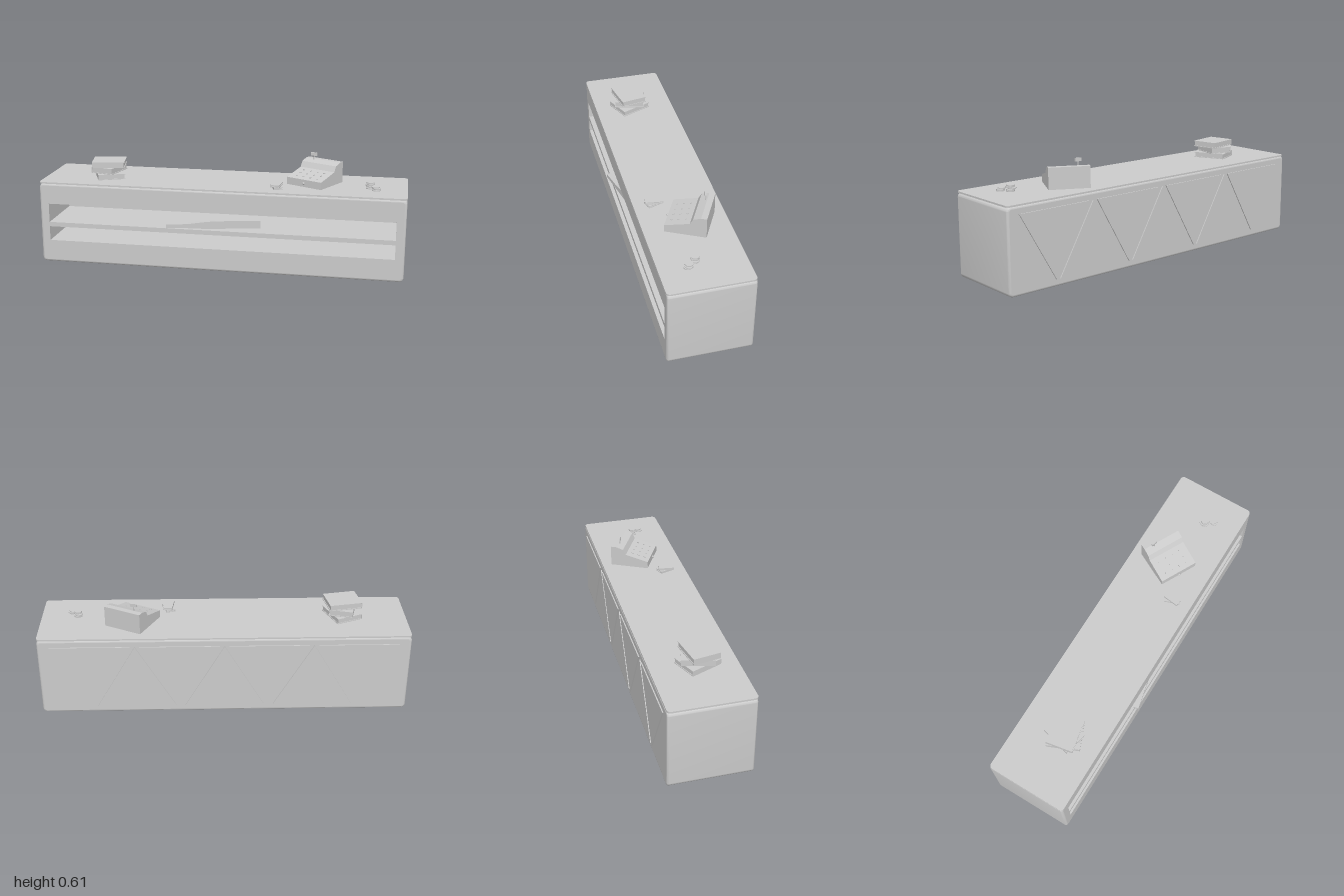
import * as THREE from 'three';
import { toCreasedNormals } from 'three/addons/utils/BufferGeometryUtils.js';

const grey = new THREE.MeshStandardMaterial({ color: 0xcccccc });
const greyDouble = new THREE.MeshStandardMaterial({ color: 0xcccccc, side: THREE.DoubleSide });
const TOP = 0.458; // height of the counter surface

function add(parent, name, geo, x = 0, y = 0, z = 0, ry = 0, mat = grey) {
  const m = new THREE.Mesh(geo, mat);
  m.name = name;
  m.position.set(x, y, z);
  m.rotation.y = ry;
  parent.add(m);
  return m;
}

function group(parent, name, x, y, z, ry = 0) {
  const g = new THREE.Group();
  g.name = name;
  g.position.set(x, y, z);
  g.rotation.y = ry;
  parent.add(g);
  return g;
}

const box = (w, h, d) => new THREE.BoxGeometry(w, h, d);
const poly = (pts) => new THREE.Shape(pts.map(([x, y]) => new THREE.Vector2(x, y)));
const extrude = (shape, depth) => new THREE.ExtrudeGeometry(shape, { depth, bevelEnabled: false });

function roundedRect(x0, y0, x1, y1, r) {
  const s = new THREE.Shape();
  s.absarc(x1 - r, y0 + r, r, -Math.PI / 2, 0);
  s.absarc(x1 - r, y1 - r, r, 0, Math.PI / 2);
  s.absarc(x0 + r, y1 - r, r, Math.PI / 2, Math.PI);
  s.absarc(x0 + r, y0 + r, r, Math.PI, Math.PI * 1.5);
  s.closePath();
  return s;
}

function addCounter(root) {
  const g = group(root, 'counter', 0, 0, 0);
  const r = 0.012, back = -0.234, front = 0.215;
  const slots = [[0.125, 0.205], [0.23, 0.335]];
  const outline = () => roundedRect(-1 + r, r, 1 - r, 0.45 - r, 0.012);

  // Rounded shell: bevelled sides only, the end caps are made separately
  const full = new THREE.ExtrudeGeometry(outline(), {
    depth: front - back - 2 * r, bevelSize: r, bevelThickness: r, bevelSegments: 4, curveSegments: 5,
  });
  const shell = new THREE.BufferGeometry();
  const sides = full.attributes.position.array.slice(full.groups[1].start * 3);
  shell.setAttribute('position', new THREE.BufferAttribute(sides, 3));
  add(g, 'counterShell', toCreasedNormals(shell, 0.6), 0, 0, back + r);

  // Front panel with two long shelf openings
  const panel = outline();
  for (const [y0, y1] of slots) {
    panel.holes.push(poly([[-0.95, y0], [-0.95, y1], [0.95, y1], [0.95, y0]]));
  }
  add(g, 'frontPanel', new THREE.ShapeGeometry(panel, 5), 0, 0, front);
  add(g, 'backPanel', new THREE.ShapeGeometry(outline(), 5), 0, 0, back, Math.PI);

  // Shelf recesses, open towards the front
  const depth = 0.33;
  for (const [y0, y1] of slots) {
    const geo = box(1.9, y1 - y0, depth);
    const index = Array.from(geo.index.array);
    index.splice(24, 6);
    geo.setIndex(index);
    geo.clearGroups();
    add(g, 'shelfRecess', geo, 0, (y0 + y1) / 2, front - depth / 2, 0, greyDouble);
  }

  // Thin worktop with rounded corners
  const slab = extrude(roundedRect(-1, -0.217, 1, 0.233, 0.02), 0.009);
  slab.rotateX(-Math.PI / 2);
  add(g, 'worktop', slab, 0, TOP - 0.009, 0);

  // Row of alternating raised triangles on the back
  for (let i = 0; i < 7; i++) {
    const cx = 0.72 - 0.24 * i;
    const [base, tip] = i % 2 ? [0.04, 0.41] : [0.41, 0.04];
    const tri = poly([[cx - 0.215, base], [cx + 0.215, base], [cx, tip]]);
    add(g, 'backTriangle', extrude(tri, 0.008), 0, 0, -0.24);
  }
}

// Closed book: two covers, a spine and an inset page block
function addBook(root, x, y, z, w, h, d, ry) {
  const g = group(root, 'book', x, y, z, ry);
  const t = 0.004;
  add(g, 'lowerCover', box(w, t, d), 0, t / 2, 0);
  add(g, 'upperCover', box(w, t, d), 0, h - t / 2, 0);
  add(g, 'spine', box(t, h - 2 * t, d), -w / 2 + t / 2, h / 2, 0);
  add(g, 'pages', box(w - 2 * t, h - 2 * t, d - 0.008), 0, h / 2, 0);
}

function addRegister(root) {
  const g = group(root, 'cashRegister', 0.497, TOP, -0.035, -0.48);
  const w = 0.218;
  // Side profile, x forward and y up
  const profile = poly([
    [-0.109, 0], [0.109, 0], [0.109, 0.04], [-0.022, 0.072],
    [-0.038, 0.102], [-0.078, 0.115], [-0.109, 0.115],
  ]);
  const body = extrude(profile, w);
  body.translate(0, 0, -w / 2);
  body.rotateY(-Math.PI / 2);
  add(g, 'registerBody', body);

  // Keys on the sloping face
  const slope = Math.atan2(0.032, 0.131);
  for (let row = 0; row < 3; row++) {
    for (let col = 0; col < 4; col++) {
      const z = 0.08 - row * 0.036;
      const key = new THREE.CylinderGeometry(0.005, 0.005, 0.006, 8);
      const y = 0.04 + (0.109 - z) * Math.tan(slope) + 0.001;
      add(g, 'key', key, -0.066 + col * 0.044, y, z).rotation.x = slope;
    }
  }

  // Drawer knob and the small price sign on its stem
  add(g, 'drawerKnob', new THREE.SphereGeometry(0.007, 10, 8), 0, 0.02, 0.114);
  add(g, 'signStem', new THREE.CylinderGeometry(0.003, 0.003, 0.03, 8), -0.052, 0.125, -0.069);
  add(g, 'sign', box(0.034, 0.018, 0.008), -0.052, 0.143, -0.069, 0.25);
}

// Stack of slightly shifted coins
function addCoins(root, x, z, count) {
  const g = group(root, 'coinStack', x, TOP, z);
  for (let i = 0; i < count; i++) {
    const dx = 0.004 * Math.sin(i * 2.3), dz = 0.004 * Math.cos(i * 1.9);
    add(g, 'coin', new THREE.CylinderGeometry(0.022, 0.022, 0.005, 12), dx, 0.0025 + i * 0.0075, dz);
    if (i) add(g, 'coinRim', new THREE.CylinderGeometry(0.016, 0.016, 0.003, 12), dx, i * 0.0075 - 0.001, dz);
  }
}

// Long stocked object lying at an angle in the upper shelf
function addShelfGun(root) {
  const shape = poly([
    [0, 0.007], [0.11, 0.006], [0.16, 0.003], [0.23, 0], [0.513, 0],
    [0.513, 0.041], [0.27, 0.043], [0.2, 0.038], [0.12, 0.029], [0, 0.027],
  ]);
  const geo = extrude(shape, 0.03);
  geo.translate(0, 0, -0.03);
  add(root, 'shelfGun', geo, -0.278, 0.231, 0.24, 0.225);
}

export function createModel() {
  const root = new THREE.Group();
  root.name = 'shopCounter';
  addCounter(root);
  addShelfGun(root);
  addRegister(root);

  // Pile of three books
  addBook(root, -0.652, TOP, 0.015, 0.15, 0.03, 0.18, 0.4);
  addBook(root, -0.655, TOP + 0.03, 0.015, 0.13, 0.034, 0.17, -0.25);
  addBook(root, -0.652, TOP + 0.064, 0.021, 0.18, 0.033, 0.147, 0.18);

  // Two small notebooks
  addBook(root, 0.305, TOP, 0.105, 0.05, 0.012, 0.088, 0.35);
  addBook(root, 0.305, TOP + 0.012, 0.108, 0.05, 0.013, 0.088, -0.12);

  addCoins(root, 0.8, 0.024, 5);
  addCoins(root, 0.834, 0.065, 3);
  return root;
}
